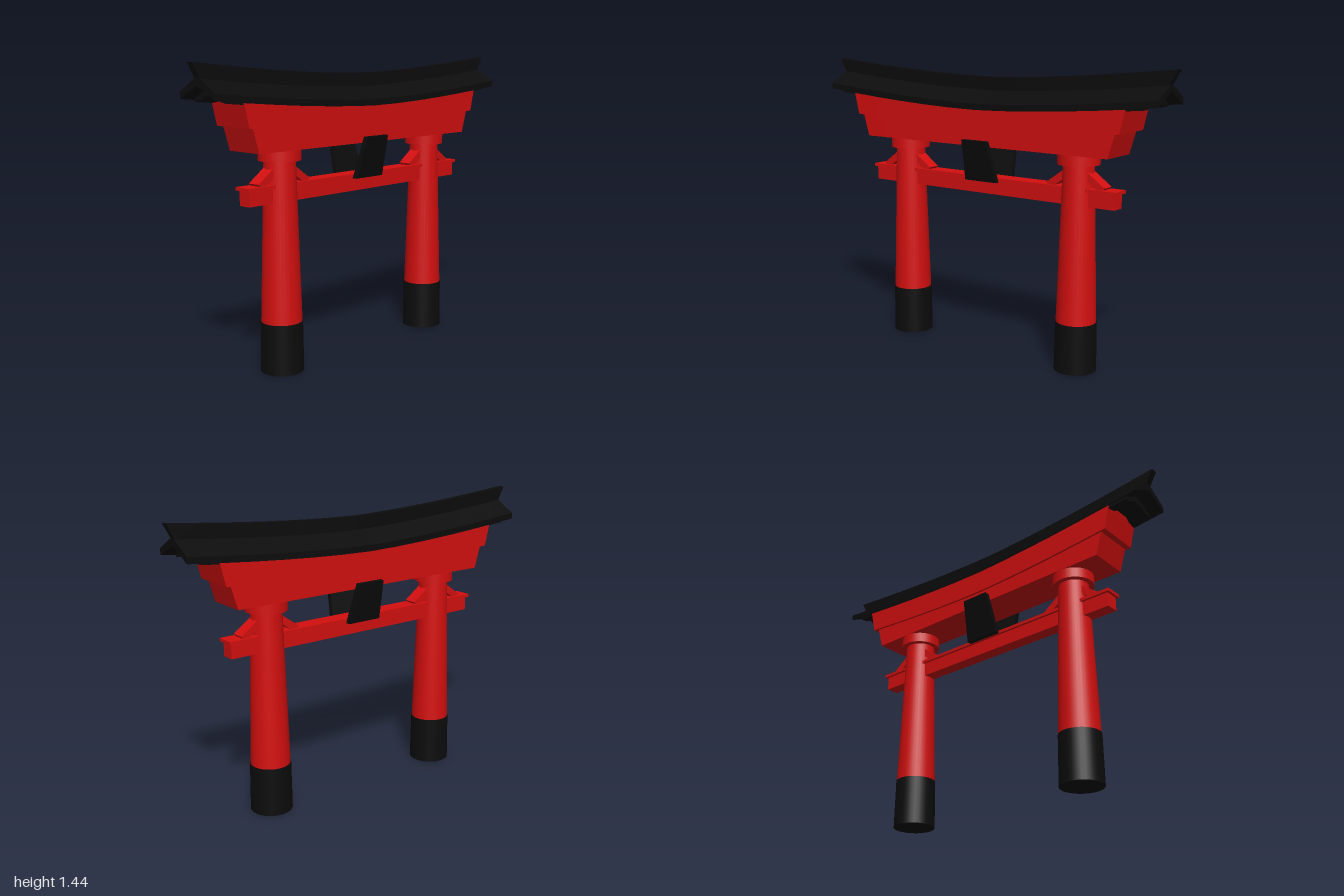
import * as THREE from 'three';

const red = new THREE.MeshStandardMaterial({ color: 0xd40f0f });
const black = new THREE.MeshStandardMaterial({ color: 0x0c0c0c });

// Upward sweep of the roof towards both ends
const lift = (z) => 0.065 * Math.pow(Math.abs(z), 1.6);

// Symmetric section from its right half, listed top centre to bottom centre
function section(half) {
  const left = half.filter(([x]) => x > 0).reverse().map(([x, y]) => [-x, y]);
  return new THREE.Shape([...half, ...left].map(([x, y]) => new THREE.Vector2(x, y)).reverse());
}

// Beam along z: ends lean from halfLow to halfHigh; points above liftAbove follow the sweep
function sweptBeam(half, halfLow, halfHigh, liftAbove = 0) {
  const ys = half.map((p) => p[1]);
  const low = Math.min(...ys), high = Math.max(...ys);
  const geo = new THREE.ExtrudeGeometry(section(half), { depth: 2, steps: 12, bevelEnabled: false });
  geo.translate(0, 0, -1);
  const pos = geo.attributes.position;
  for (let i = 0; i < pos.count; i++) {
    const y = pos.getY(i);
    const z = pos.getZ(i) * THREE.MathUtils.mapLinear(y, low, high, halfLow, halfHigh);
    pos.setZ(i, z);
    if (y > liftAbove) pos.setY(i, y + lift(z));
  }
  geo.computeVertexNormals();
  return geo;
}

const block = (w, y0, y1) => [[w, y1], [w, y0]];

export function createModel() {
  const model = new THREE.Group();
  const add = (name, geo, mat, x = 0, y = 0, z = 0) => {
    const mesh = new THREE.Mesh(geo, mat);
    mesh.name = name;
    mesh.position.set(x, y, z);
    model.add(mesh);
    return mesh;
  };

  // Pillars with dark sleeves, collars and wedges
  for (const side of [-1, 1]) {
    const z = side * 0.515;
    add('pillarSleeve', new THREE.CylinderGeometry(0.099, 0.102, 0.24, 32), black, 0, 0.12, z);
    add('pillar', new THREE.CylinderGeometry(0.073, 0.097, 0.8, 32), red, 0, 0.63, z);
    add('pillarCollar', new THREE.CylinderGeometry(0.1, 0.1, 0.055, 32), red, 0, 1.022, z);
    for (const dir of [-1, 1]) {
      const wedge = add('wedge', new THREE.BoxGeometry(0.066, 0.035, 0.13), red, 0, 0.923, z + dir * 0.093);
      wedge.rotation.x = dir * 0.62;
    }
  }

  // Tie beam and its cap
  add('tieBeam', new THREE.BoxGeometry(0.066, 0.075, 1.45), red, 0, 0.842, 0);
  add('tieBeamCap', new THREE.BoxGeometry(0.09, 0.015, 1.475), red, 0, 0.882, 0);

  // Leaning tablets on both faces
  for (const side of [-1, 1]) {
    const geo = new THREE.BoxGeometry(0.025, 0.205, 2);
    const pos = geo.attributes.position;
    for (let i = 0; i < pos.count; i++) {
      const top = pos.getY(i) > 0;
      pos.setZ(i, pos.getZ(i) * (top ? 0.073 : 0.093));
      pos.setX(i, pos.getX(i) + side * (top ? 0.122 : 0.066));
    }
    geo.computeVertexNormals();
    add('tablet', geo, black, 0, 0.973, -0.003);
  }

  // Stacked lintels with flared ends
  add('lowerLintel', sweptBeam(block(0.1, 1.045, 1.12), 0.72, 0.755, 1.1), red);
  add('upperLintel', sweptBeam(block(0.11, 1.115, 1.235), 0.78, 0.81), red);

  // Gabled roof, soffit and ridge
  add('soffit', sweptBeam([[0, 1.287], [0.105, 1.23], [0.105, 1.214], [0.06, 1.222], [0.03, 1.24]], 0.9, 0.9), black);
  add('roof', sweptBeam([[0, 1.32], [0.12, 1.252], [0.12, 1.222], [0, 1.282]], 0.965, 0.965), black);
  add('ridge', sweptBeam(block(0.017, 1.305, 1.375), 0.96, 1), black);

  return model;
}
